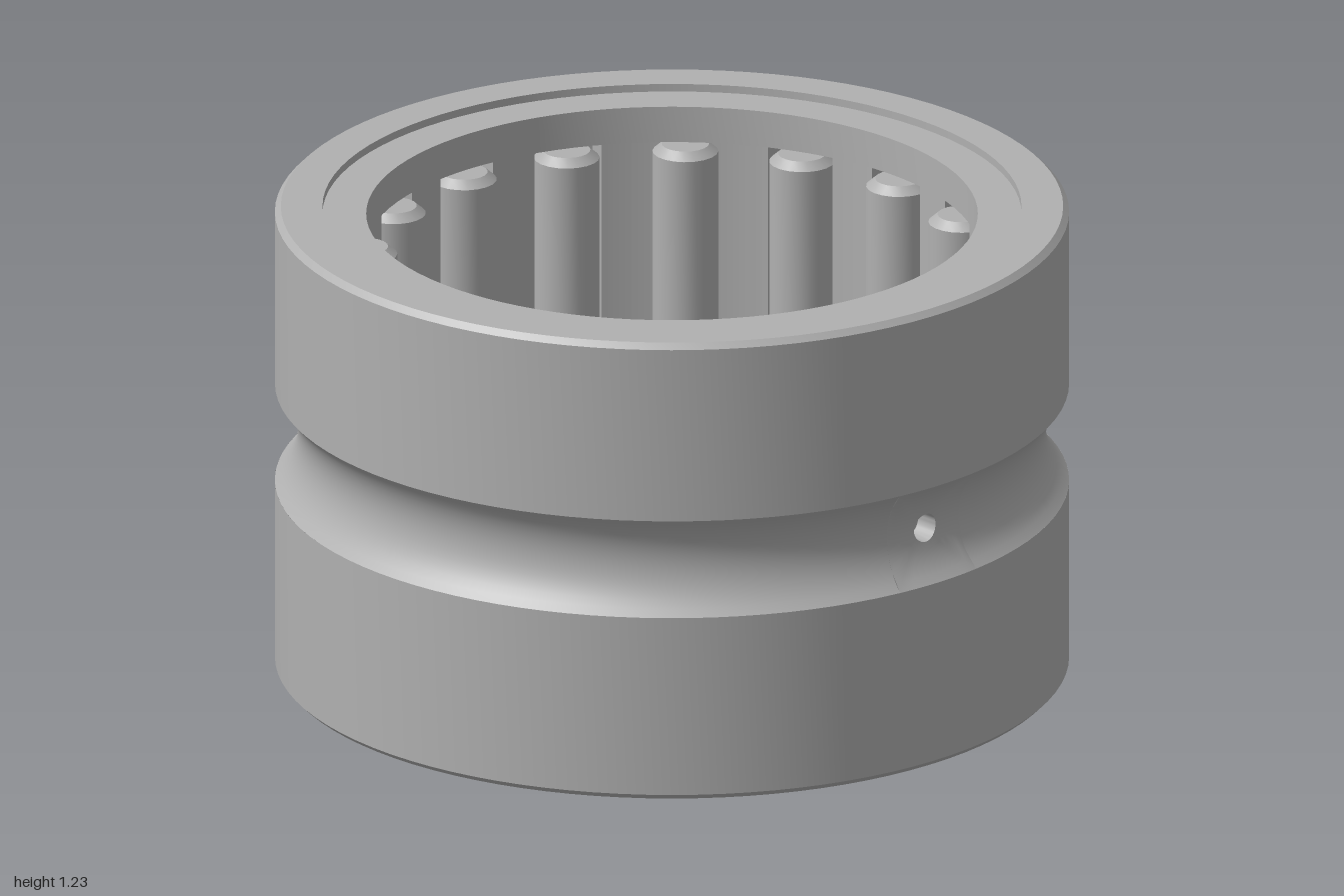
import * as THREE from 'three';
import { toCreasedNormals } from 'three/addons/utils/BufferGeometryUtils.js';

const H = 1.225, SEG = 96, COUNT = 16;
const RACE = 0.88, BORE = 0.77;          // inside of the outer ring, inside of the cage
const G0 = 0.49, G1 = 0.75, GY = 0.62;   // groove edges and middle
const HOLE_PHI = -0.107, HOLE_R = 0.037, GAP = 0.13;

// radius of the rounded groove at height y
const GR = 0.175, GC = 0.942 + GR;
const grooveRadius = (y) => GC - Math.sqrt(GR * GR - (y - GY) ** 2);

const lathe = (pts, seg = SEG, start = 0, len = Math.PI * 2, crease = 0.5) =>
  toCreasedNormals(new THREE.LatheGeometry(pts.map(([x, y]) => new THREE.Vector2(x, y)), seg, start, len), crease);

// Groove patch around the oil hole, with the wall of the hole
function holePatch() {
  const N = 32, rings = 7, pos = [], idx = [];
  const point = (phi, y, r) => pos.push(r * Math.sin(HOLE_PHI + phi), y, r * Math.cos(HOLE_PHI + phi));
  for (let k = 0; k < rings; k++) {
    const t = (k - 1) / (rings - 2);
    for (let i = 0; i < N; i++) {
      const a = (i / N) * Math.PI * 2, c = Math.cos(a), s = Math.sin(a);
      const q = 1 / Math.max(Math.abs(c), Math.abs(s));
      const u = Math.max(t, 0);
      const phi = THREE.MathUtils.lerp((HOLE_R * c) / 0.942, GAP * c * q, u);
      const y = GY + THREE.MathUtils.lerp(HOLE_R * s, 0.13 * s * q, u);
      point(phi, y, k === 0 ? RACE - 0.005 : grooveRadius(y));
    }
  }
  for (let k = 0; k < rings - 1; k++)
    for (let i = 0; i < N; i++) {
      const a = k * N + i, b = k * N + ((i + 1) % N);
      idx.push(a, a + N, b, b, a + N, b + N);
    }
  const g = new THREE.BufferGeometry();
  g.setAttribute('position', new THREE.Float32BufferAttribute(pos, 3));
  g.setIndex(idx);
  return toCreasedNormals(g, 0.6);
}

export function createModel() {
  const model = new THREE.Group();
  const steel = new THREE.MeshStandardMaterial({ color: 0xb0b0b0 });
  steel.name = 'steel grey';
  steel.side = THREE.DoubleSide;
  const add = (parent, name, geometry) => {
    const mesh = new THREE.Mesh(geometry, steel);
    mesh.name = name;
    parent.add(mesh);
    return mesh;
  };

  // Outer ring: from the groove over the top, down the race and back up
  const outer = new THREE.Group();
  outer.name = 'outerRing';
  model.add(outer);
  add(outer, 'ringBody', lathe([
    [1, G1], [1, H - 0.015], [0.985, H], [RACE, H],
    [RACE, 0], [0.985, 0], [1, 0.015], [1, G0],
  ]));
  const groove = [];
  for (let i = 0; i <= 14; i++) {
    const y = G0 + ((G1 - G0) * i) / 14;
    groove.push([grooveRadius(y), y]);
  }
  add(outer, 'groove', lathe(groove, SEG, HOLE_PHI + GAP, Math.PI * 2 - 2 * GAP));
  add(outer, 'oilHole', holePatch());

  // Cage: an end rim at each side joined by bars between the rollers
  const cage = new THREE.Group();
  cage.name = 'cage';
  model.add(cage);
  const rim = (name, y0, y1) =>
    add(cage, name, lathe([[BORE, y0], [RACE, y0], [RACE, y1], [BORE, y1], [BORE, y0]]));
  rim('lowerRim', 0.04, 0.12);
  rim('upperRim', 1.11, H - 0.02);

  const half = Math.PI / COUNT - 0.117, mid = -Math.PI / 2;
  const sector = new THREE.Shape();
  sector.absarc(0, 0, RACE - 0.01, mid - half, mid + half, false);
  sector.absarc(0, 0, BORE, mid + half, mid - half, true);
  const bar = new THREE.ExtrudeGeometry(sector, { depth: 0.99, bevelEnabled: false, curveSegments: 4 });
  bar.rotateX(-Math.PI / 2).translate(0, 0.12, 0);

  // Rollers with chamfered ends
  const R = 0.083, y0 = 0.125, y1 = 1.105;
  const roller = lathe([
    [0, y0], [0.06, y0], [R, y0 + 0.02], [R, y1 - 0.02], [0.06, y1], [0, y1],
  ], 20);
  roller.translate(0, 0, 0.775);

  const rollers = new THREE.Group();
  rollers.name = 'rollers';
  model.add(rollers);
  for (let i = 0; i < COUNT; i++) {
    const a = HOLE_PHI + (i * Math.PI * 2) / COUNT;
    add(rollers, 'roller', roller).rotation.y = a;
    add(cage, 'cageBar', bar).rotation.y = a + Math.PI / COUNT;
  }
  return model;
}
